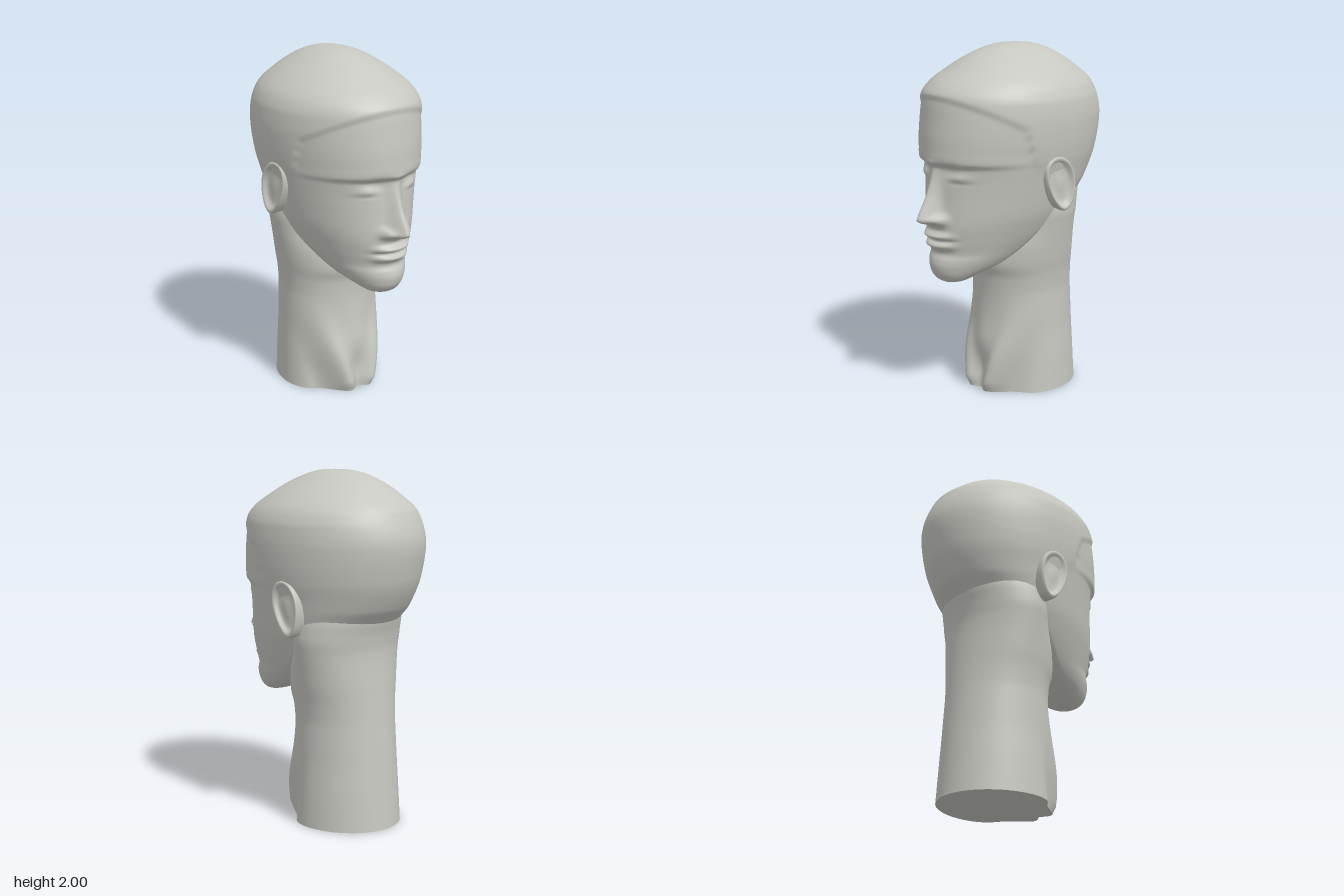
import * as THREE from 'three';

// Monotone cubic curve through [y, value] pairs listed by rising y
function curve(pts) {
  const n = pts.length;
  const slope = (i) => (pts[i + 1][1] - pts[i][1]) / (pts[i + 1][0] - pts[i][0]);
  const tangent = pts.map((_, i) => {
    if (i === 0) return slope(0);
    if (i === n - 1) return slope(n - 2);
    const a = slope(i - 1), b = slope(i);
    return a * b <= 0 ? 0 : (2 * a * b) / (a + b);
  });
  return (y) => {
    if (y <= pts[0][0]) return pts[0][1];
    if (y >= pts[n - 1][0]) return pts[n - 1][1];
    let i = 0;
    while (y > pts[i + 1][0]) i++;
    const h = pts[i + 1][0] - pts[i][0], t = (y - pts[i][0]) / h, u = 1 - t;
    return u * u * (1 + 2 * t) * pts[i][1] + t * t * (3 - 2 * t) * pts[i + 1][1]
      + h * t * u * (u * tangent[i] - t * tangent[i + 1]);
  };
}

// Closed rings of points fn(t, angle), joined along t
function loft(fn, rows, cols) {
  const pos = [], idx = [];
  for (let i = 0; i <= rows; i++) {
    for (let j = 0; j < cols; j++) pos.push(...fn(i / rows, (j / cols) * Math.PI * 2));
  }
  for (let i = 0; i < rows; i++) {
    for (let j = 0; j < cols; j++) {
      const k = (j + 1) % cols;
      const a = i * cols + j, b = i * cols + k, c = a + cols, d = b + cols;
      idx.push(a, b, d, a, d, c);
    }
  }
  const g = new THREE.BufferGeometry();
  g.setAttribute('position', new THREE.Float32BufferAttribute(pos, 3));
  g.setIndex(idx);
  g.computeVertexNormals();
  return g;
}

const bump = (d, w) => Math.exp(-(d * d) / (w * w));
const smooth = THREE.MathUtils.smoothstep;

// Head sections: half width, front, back and widest z at each height
const headWidth = curve([[0.69, 0], [0.695, 0.05], [0.71, 0.095], [0.75, 0.145], [0.8, 0.195], [0.9, 0.262],
  [1, 0.315], [1.1, 0.355], [1.2, 0.38], [1.3, 0.4], [1.4, 0.422], [1.5, 0.435], [1.6, 0.44], [1.7, 0.432],
  [1.76, 0.41], [1.8, 0.383], [1.87, 0.305], [1.92, 0.23], [1.97, 0.14], [1.99, 0.085], [1.997, 0.05], [2, 0]]);
const headFront = curve([[0.69, 0.39], [0.695, 0.425], [0.72, 0.465], [0.76, 0.49], [0.8, 0.497], [0.83, 0.492],
  [0.87, 0.476], [0.95, 0.488], [1.02, 0.495], [1.1, 0.49], [1.2, 0.482], [1.3, 0.476], [1.35, 0.482],
  [1.385, 0.523], [1.42, 0.528], [1.5, 0.525], [1.6, 0.513], [1.7, 0.499], [1.74, 0.488], [1.8, 0.435],
  [1.86, 0.345], [1.92, 0.245], [1.97, 0.13], [1.99, 0.06], [1.997, 0.015], [2, -0.06]]);
const headBack = curve([[0.69, 0.39], [0.695, 0.35], [0.72, 0.27], [0.75, 0.19], [0.8, 0.08], [0.9, -0.06],
  [1, -0.2], [1.1, -0.35], [1.2, -0.455], [1.25, -0.5], [1.42, -0.577], [1.6, -0.605], [1.77, -0.555],
  [1.87, -0.45], [1.92, -0.38], [1.97, -0.275], [1.99, -0.2], [1.997, -0.14], [2, -0.06]]);
const headMiddle = curve([[0.69, 0.39], [0.74, 0.32], [0.8, 0.2], [0.9, 0.08], [1, 0], [1.2, -0.06], [2, -0.06]]);
const noseHeight = curve([[1.01, 0], [1.035, 0.025], [1.05, 0.085], [1.07, 0.114], [1.09, 0.108], [1.2, 0.06],
  [1.3, 0.03], [1.35, 0.016], [1.4, 0]]);
const noseWidth = curve([[1.02, 0.06], [1.1, 0.047], [1.25, 0.038], [1.35, 0.045]]);

// Relief of the face, added towards the front
function relief(x, y) {
  const ax = Math.abs(x);
  const ly = y - 0.25 * x * x;
  const mouth = Math.exp(-Math.pow(ax / 0.115, 4));
  return noseHeight(y) * bump(x, noseWidth(y))
    + 0.035 * bump(ax - 0.07, 0.03) * bump(y - 1.068, 0.028)
    + mouth * (0.036 * bump(ly - 0.97, 0.019) + 0.034 * bump(ly - 0.915, 0.021) - 0.012 * bump(ly - 0.944, 0.008))
    - 0.016 * bump(ax - 0.11, 0.06) * bump(y - 1.335, 0.04)
    + 0.016 * bump(ax - 0.155, 0.06) * bump(y - 1.305, 0.028)
    - 0.006 * bump(ax - 0.155, 0.06) * bump(y - 1.275, 0.01);
}

function headPoint(t, angle) {
  const y = 1.345 - 0.655 * Math.cos(Math.PI * t);
  const a = angle - 0.5 * Math.sin(angle); // finer columns on the face
  const zm = headMiddle(y), s = Math.sin(a), c = Math.cos(a);
  let x = headWidth(y) * s;
  let z = zm + c * (c > 0 ? headFront(y) - zm : zm - headBack(y));
  // raised cap edge across the forehead and down the temples
  const edge = z > 0.17 ? 1.57 + (z - 0.17) * 0.5 : 1.57 - (0.17 - z) * 3;
  const bare = (1 - smooth(y, edge - 0.025, edge + 0.025)) * smooth(y, 1.3, 1.45);
  x *= 1 - 0.022 * bare;
  z = zm + (z - zm) * (1 - 0.022 * bare);
  if (c > 0) z += relief(x, y) * smooth(c, 0.2, 0.6);
  return [x, y, z];
}

// Neck sections
const neckWidth = curve([[0, 0.3], [0.2, 0.295], [0.4, 0.288], [0.58, 0.288], [0.7, 0.3], [0.8, 0.32],
  [0.9, 0.338], [1, 0.356], [1.08, 0.368], [1.15, 0.365], [1.3, 0.33]]);
const neckFront = curve([[0, 0.15], [0.2, 0.148], [0.4, 0.143], [0.55, 0.143], [0.68, 0.148], [0.76, 0.17],
  [0.85, 0.16], [1, 0.1], [1.3, 0.05]]);
const neckBack = curve([[0, -0.47], [0.4, -0.44], [0.8, -0.408], [1, -0.396], [1.1, -0.408], [1.2, -0.43], [1.3, -0.43]]);

function neckPoint(t, angle) {
  const y = 1.3 * t;
  const zm = -0.13, s = Math.sin(angle), c = Math.cos(angle);
  const x = neckWidth(y) * s;
  let z = zm + c * (c > 0 ? neckFront(y) - zm : zm - neckBack(y));
  if (c > 0) {
    // two muscles running down to the notch of the throat
    const ax = Math.abs(x), low = 1 - smooth(y, 0.05, 0.6);
    const round = 0.7 + 0.3 * smooth(y, 0, 0.05);
    z += 0.075 * low * round * bump(ax - 0.07 - 0.3 * y, 0.06 + 0.05 * y);
    z += 0.05 * low * smooth(y, 0.1, 0.35) * bump(x, 0.1);
    z -= 0.025 * low * bump(ax - 0.2 - 0.2 * y, 0.05);
  }
  return [x, y, z];
}

// Ear: hollow dish with a rolled rim, pairs of [radius, outward offset]
const earProfile = [[0.96, -0.09], [1, -0.02], [1.01, 0.005], [0.97, 0.02], [0.9, 0.023], [0.82, 0.017],
  [0.74, 0.004], [0.6, -0.004], [0.3, 0.002], [0, 0.003]];
function earPoint(side) {
  return (t, angle) => {
    const [r, out] = earProfile[Math.round(t * (earProfile.length - 1))];
    const a = -angle * side, s = Math.sin(a);
    const y = 0.155 * r * s;
    const z = 0.095 * r * Math.cos(a) * (1 + 0.22 * s) + 0.17 * y;
    return [side * (0.408 + out - 0.08 * z), 1.255 + y, -0.065 + z];
  };
}

export function createModel() {
  const group = new THREE.Group();
  const stone = new THREE.MeshStandardMaterial({ color: 0xc6c7c0 });
  stone.name = 'paleGrey';
  const add = (name, geometry) => {
    const mesh = new THREE.Mesh(geometry, stone);
    mesh.name = name;
    group.add(mesh);
  };

  add('head', loft(headPoint, 200, 160));
  add('neck', loft(neckPoint, 60, 120));
  add('neckBase', loft((t, angle) => {
    const [x, , z] = neckPoint(0, angle);
    return [x * t, 0, -0.13 + (z + 0.13) * t];
  }, 1, 120));
  add('leftEar', loft(earPoint(1), earProfile.length - 1, 48));
  add('rightEar', loft(earPoint(-1), earProfile.length - 1, 48));
  return group;
}
